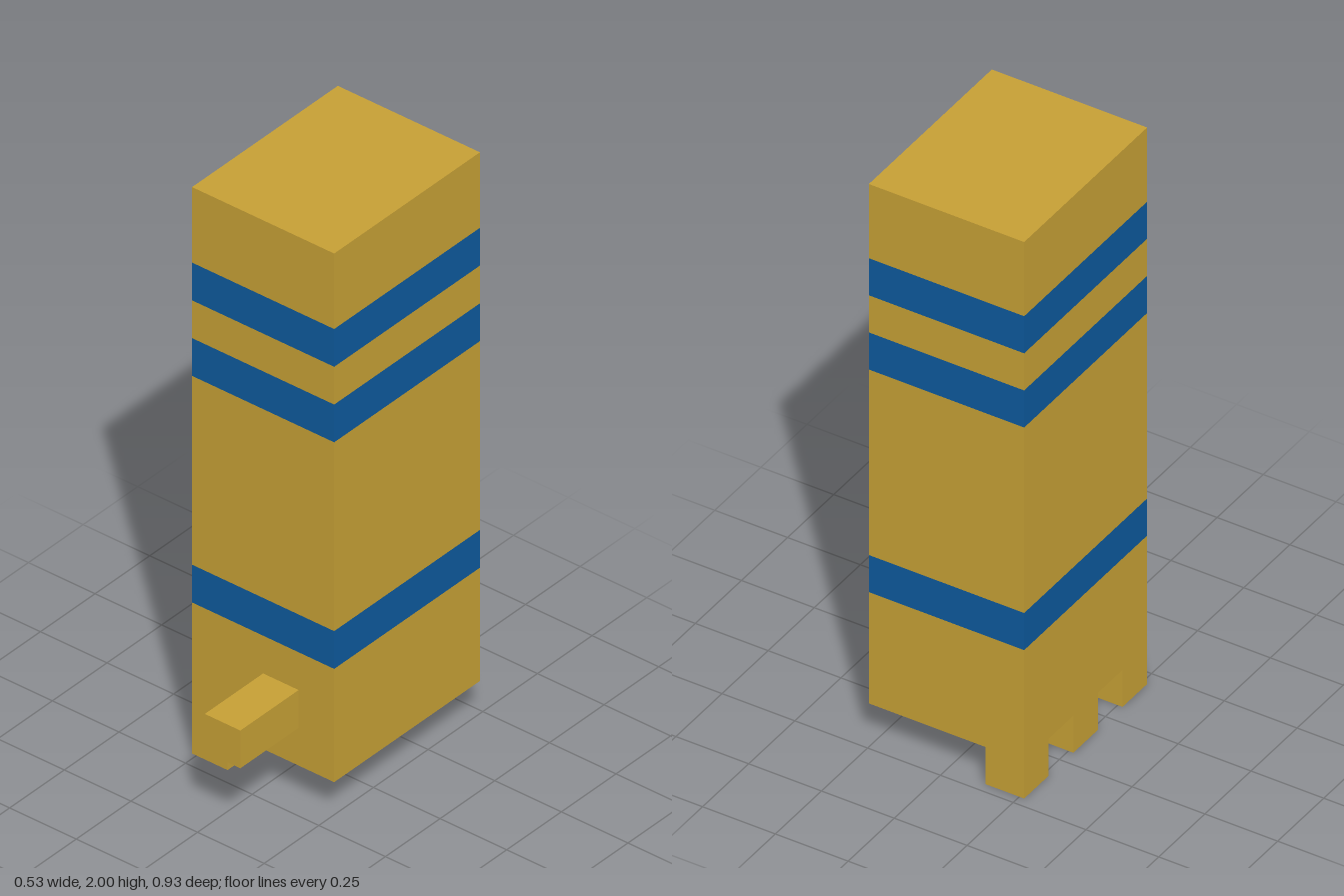
import * as THREE from 'three';

const U = 2 / 15; // block unit: the model is 15 blocks tall

export function createModel() {
  const group = new THREE.Group();
  const gold = new THREE.MeshStandardMaterial({ color: 0xc59f35 });
  gold.name = 'gold';
  const blue = new THREE.MeshStandardMaterial({ color: 0x0d599c });
  blue.name = 'blue';

  // box spanning two corners, given in block units
  function block(name, material, [x0, y0, z0], [x1, y1, z1]) {
    const geometry = new THREE.BoxGeometry((x1 - x0) * U, (y1 - y0) * U, (z1 - z0) * U);
    const mesh = new THREE.Mesh(geometry, material);
    mesh.position.set((x0 + x1) * U / 2, (y0 + y1) * U / 2, (z0 + z1) * U / 2);
    mesh.name = name;
    group.add(mesh);
  }

  // tower of alternating gold sections and blue bands
  const levels = [1, 4, 5, 10, 11, 12, 13, 15];
  for (let i = 0; i < levels.length - 1; i++) {
    const band = i % 2 === 1;
    block(band ? 'band' : 'bodySection', band ? blue : gold,
      [-2, levels[i], -3.5], [2, levels[i + 1], 1.5]);
  }

  // bar sticking out of the front
  block('frontBar', gold, [0, 2, 1.5], [1, 3, 3.5]);

  // row of three feet along the right edge
  for (const z of [-3.5, -1.5, 0.5]) block('foot', gold, [-2, 0, z], [-1, 1, z + 1]);

  return group;
}
